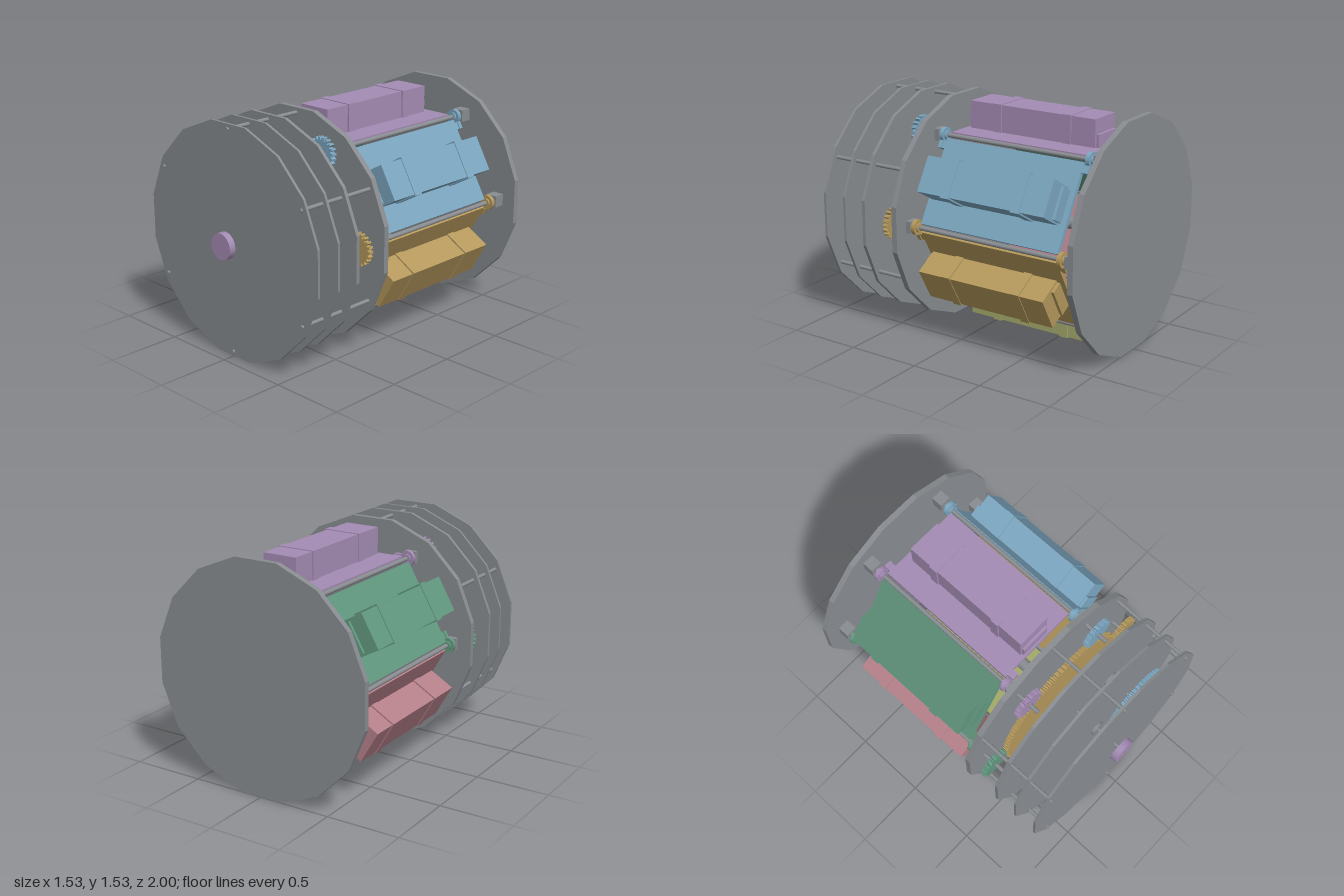
import * as THREE from 'three';
import { toCreasedNormals } from 'three/addons/utils/BufferGeometryUtils.js';

const AXIS_Y = 0.766;   // height of the main axis
const HINGE_R = 0.63;   // radius of the ring of hinge spindles

function mat(name, color) {
  const m = new THREE.MeshStandardMaterial({ color });
  m.name = name;
  return m;
}

function add(parent, name, geometry, material, x = 0, y = 0, z = 0) {
  const mesh = new THREE.Mesh(geometry, material);
  mesh.name = name;
  mesh.position.set(x, y, z);
  parent.add(mesh);
  return mesh;
}

// Cylinder lying along z between z0 and z1
function rod(parent, name, material, r, z0, z1, x = 0, y = 0, sides = 20) {
  const g = new THREE.CylinderGeometry(r, r, z1 - z0, sides).rotateX(Math.PI / 2);
  return add(parent, name, g, material, x, y, (z0 + z1) / 2);
}

// Box given by its limits
function block(parent, name, material, x0, x1, y0, y1, z0, z1) {
  const g = new THREE.BoxGeometry(x1 - x0, y1 - y0, z1 - z0);
  return add(parent, name, g, material, (x0 + x1) / 2, (y0 + y1) / 2, (z0 + z1) / 2);
}

// Sixteen-sided plate with flats at top and bottom
function plate(parent, name, material, z0, z1) {
  const g = new THREE.CylinderGeometry(0.78, 0.78, z1 - z0, 16, 1, false, Math.PI / 16);
  g.rotateX(Math.PI / 2);
  add(parent, name, toCreasedNormals(g, 0.2), material, 0, 0, (z0 + z1) / 2);
}

// Spur gear with trapezoid teeth
function gear(parent, name, material, r, teeth, z0, z1, x = 0, y = 0) {
  const shape = new THREE.Shape();
  const step = (Math.PI * 2) / teeth, root = r - 0.018;
  for (let i = 0; i < teeth; i++) {
    [[0, root], [0.3, root], [0.45, r], [0.85, r]].forEach(([f, d], k) => {
      const a = (i + f) * step;
      const px = Math.cos(a) * d, py = Math.sin(a) * d;
      if (i + k === 0) shape.moveTo(px, py);
      else shape.lineTo(px, py);
    });
  }
  shape.closePath();
  const g = new THREE.ExtrudeGeometry(shape, { depth: z1 - z0, bevelEnabled: false });
  add(parent, name, g, material, x, y, z0);
}

export function createModel() {
  const model = new THREE.Group();
  const body = new THREE.Group();
  body.name = 'carousel';
  body.position.y = AXIS_Y;
  model.add(body);

  const grey = mat('steel grey', 0x888c90);
  const purple = mat('purple', 0xa48bb4);
  const blue = mat('blue', 0x7ba6c0);
  const gold = mat('gold', 0xb4985c);
  const olive = mat('olive', 0xa2a868);
  const pink = mat('pink', 0xb47f88);
  const green = mat('green', 0x62987f);

  // End plates and gearbox plates
  plate(body, 'backPlate', grey, -1, -0.962);
  plate(body, 'mainPlate', grey, 0.308, 0.346);
  plate(body, 'gearboxPlateInner', grey, 0.566, 0.59);
  plate(body, 'gearboxPlateMiddle', grey, 0.732, 0.75);
  plate(body, 'gearboxPlateFront', grey, 0.898, 0.916);

  // Core column, drive shaft and knob
  rod(body, 'coreColumn', grey, 0.04, -0.965, 0.31);
  rod(body, 'driveShaft', grey, 0.014, 0.3, 0.96);
  rod(body, 'knob', purple, 0.087, 0.955, 1, 0, 0, 24);

  // Six coloured stations around the axis
  [purple, blue, gold, olive, pink, green].forEach((color, i) => {
    const station = new THREE.Group();
    station.name = color.name + 'Station';
    station.rotation.z = (-i * Math.PI) / 3;
    body.add(station);

    // Door panel and the container on it
    block(station, 'doorPanel', color, -0.29, 0.29, 0.531, 0.561, -0.81, 0.215);
    block(station, 'container', color, -0.12, 0.12, 0.555, 0.742, -0.755, 0.185);
    block(station, 'backEndCap', color, -0.105, 0.105, 0.555, 0.644, -0.775, -0.754);
    block(station, 'frontEndCap', color, -0.105, 0.105, 0.555, 0.644, 0.184, 0.202);
    for (const z of [-0.552, -0.03]) {
      block(station, 'strap', color, -0.13, 0.13, 0.555, 0.747, z - 0.031, z + 0.031);
    }

    // Hinge spindle with bearings, and clamps that carry the door
    const hx = -HINGE_R / 2, hy = HINGE_R * Math.sqrt(0.75);
    rod(station, 'spindle', grey, 0.015, -0.9, 0.515, hx, hy);
    for (const end of [1, -1]) {
      const span = (a, b) => {
        const c = [-0.2985 + end * a, -0.2985 + end * b];
        return end > 0 ? c : c.reverse();
      };
      rod(station, 'clampDisc', color, 0.05, ...span(0.533, 0.56), hx, hy);
      rod(station, 'clampHub', color, 0.03, ...span(0.52, 0.572), hx, hy);
      block(station, 'clampArm', color, hx, hx + 0.095, hy - 0.022, hy + 0.022, ...span(0.533, 0.56));
      block(station, 'clampFoot', color, hx + 0.045, hx + 0.095, hy - 0.015, hy + 0.015, ...span(0.5, 0.545));
    }

    // Bearings stay upright, so they hang on the body
    const a = Math.PI * (2 / 3 - i / 3);
    const bx = Math.cos(a) * HINGE_R, by = Math.sin(a) * HINGE_R;
    block(body, 'backBearing', grey, bx - 0.04, bx + 0.04, by - 0.04, by + 0.04, -0.964, -0.883);
    block(body, 'frontBearing', grey, bx - 0.04, bx + 0.04, by - 0.04, by + 0.04, 0.272, 0.31);

    // Pinion at the front of the spindle
    gear(station, 'spindlePinion', color, 0.108, 20, 0.412, 0.447, hx, hy);

    // Spacer rod joining the gearbox plates
    rod(station, 'spacerRod', grey, 0.0125, 0.31, 0.93, 0, 0.733);
  });

  // Gear train
  gear(body, 'sunGear', gold, 0.53, 100, 0.412, 0.447);
  gear(body, 'reductionGear', gold, 0.242, 46, 0.66, 0.695);
  gear(body, 'idlerPinion', blue, 0.08, 15, 0.66, 0.695, 0.312);
  gear(body, 'idlerGear', blue, 0.265, 50, 0.797, 0.835, 0.312);
  gear(body, 'inputPinion', purple, 0.06, 11, 0.797, 0.835);

  // Idler shaft and shaft collars
  rod(body, 'idlerShaft', grey, 0.014, 0.57, 0.91, 0.312);
  for (const z of [0.605, 0.873]) rod(body, 'idlerCollar', grey, 0.055, z - 0.01, z + 0.01, 0.312);
  for (const z of [0.378, 0.475, 0.763]) rod(body, 'shaftCollar', grey, 0.05, z - 0.01, z + 0.01);

  // Index disc with its detent
  rod(body, 'indexDisc', gold, 0.157, 0.5, 0.518, 0, 0, 32);
  block(body, 'detentHousing', grey, 0.172, 0.222, 0.17, 0.246, 0.5, 0.567);
  block(body, 'detentPawl', grey, 0.103, 0.147, 0.137, 0.175, 0.5, 0.567);
  block(body, 'detentArm', grey, 0.125, 0.18, 0.16, 0.185, 0.52, 0.545);

  return model;
}
